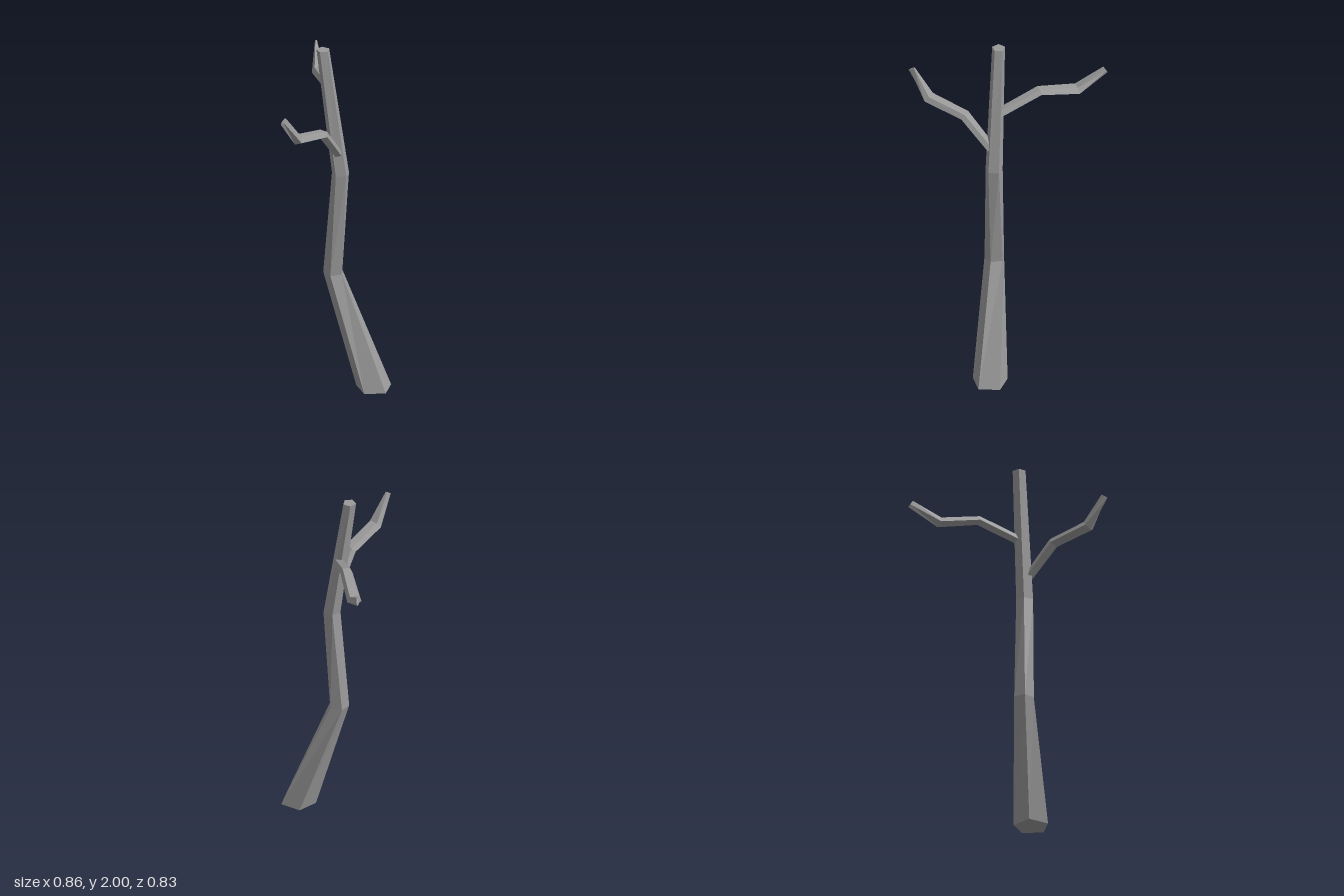
import * as THREE from 'three';

const SIDES = 5;
const material = new THREE.MeshStandardMaterial({ color: 0x999999, flatShading: true });

// Skin a list of five-sided rings and close both ends
function loft(name, rings) {
  const pos = [];
  const tri = (a, b, c) => [a, b, c].forEach((p) => pos.push(p.x, p.y, p.z));
  for (let r = 0; r < rings.length - 1; r++) {
    const a = rings[r], b = rings[r + 1];
    for (let i = 0; i < SIDES; i++) {
      const j = (i + 1) % SIDES;
      tri(a[i], a[j], b[j]);
      tri(a[i], b[j], b[i]);
    }
  }
  const first = rings[0], last = rings[rings.length - 1];
  for (let i = 1; i < SIDES - 1; i++) {
    tri(first[0], first[i + 1], first[i]);
    tri(last[0], last[i], last[i + 1]);
  }
  const geometry = new THREE.BufferGeometry();
  geometry.setAttribute('position', new THREE.Float32BufferAttribute(pos, 3));
  geometry.computeVertexNormals();
  const mesh = new THREE.Mesh(geometry, material);
  mesh.name = name;
  return mesh;
}

// Level pentagon with one corner towards +x, turned by some degrees
function levelRing([x, y, z, radius, turn]) {
  return Array.from({ length: SIDES }, (_, i) => {
    const a = (i / SIDES) * Math.PI * 2 + THREE.MathUtils.degToRad(turn);
    return new THREE.Vector3(x + Math.cos(a) * radius, y, z - Math.sin(a) * radius);
  });
}

// Pentagons across a bent path, one corner down; each stop is [x, y, z, width, height]
function branchRings(stops) {
  const points = stops.map(([x, y, z]) => new THREE.Vector3(x, y, z));
  const dirs = points.slice(1).map((p, i) => p.clone().sub(points[i]).normalize());
  return stops.map(([, , , width, height], k) => {
    const before = dirs[Math.max(k - 1, 0)], after = dirs[Math.min(k, dirs.length - 1)];
    const tangent = before.clone().add(after).normalize();
    const side = new THREE.Vector3(0, 1, 0).cross(tangent).normalize();
    const up = tangent.clone().cross(side);
    return Array.from({ length: SIDES }, (_, i) => {
      const a = -Math.PI / 2 + (i / SIDES) * Math.PI * 2;
      return points[k].clone()
        .addScaledVector(side, (Math.cos(a) / 1.902) * width)
        .addScaledVector(up, ((Math.sin(a) + 0.095) / 1.809) * height);
    });
  });
}

export function createModel() {
  const tree = new THREE.Group();
  tree.name = 'bareTree';

  // Leaning, kinked trunk that tapers to a cut top
  tree.add(loft('trunk', [
    [0.33, 0, -0.2, 0.1, 0],
    [0.133, 0.665, -0.077, 0.057, 14],
    [0.167, 1.27, -0.098, 0.049, 0],
    [0.071, 2, -0.053, 0.037, 4],
  ].map(levelRing)));

  // Long branch to the back right
  tree.add(loft('backBranch', branchRings([
    [0.12, 1.605, -0.09, 0.062, 0.044],
    [-0.088, 1.695, -0.208, 0.067, 0.044],
    [-0.285, 1.65, -0.317, 0.078, 0.05],
    [-0.42, 1.747, -0.407, 0.014, 0.045],
  ])));

  // Shorter branch towards the front
  tree.add(loft('frontBranch', branchRings([
    [0.167, 1.398, -0.073, 0.062, 0.044],
    [0.214, 1.577, 0.07, 0.074, 0.045],
    [0.258, 1.627, 0.287, 0.077, 0.052],
    [0.273, 1.78, 0.395, 0.014, 0.045],
  ])));

  return tree;
}
